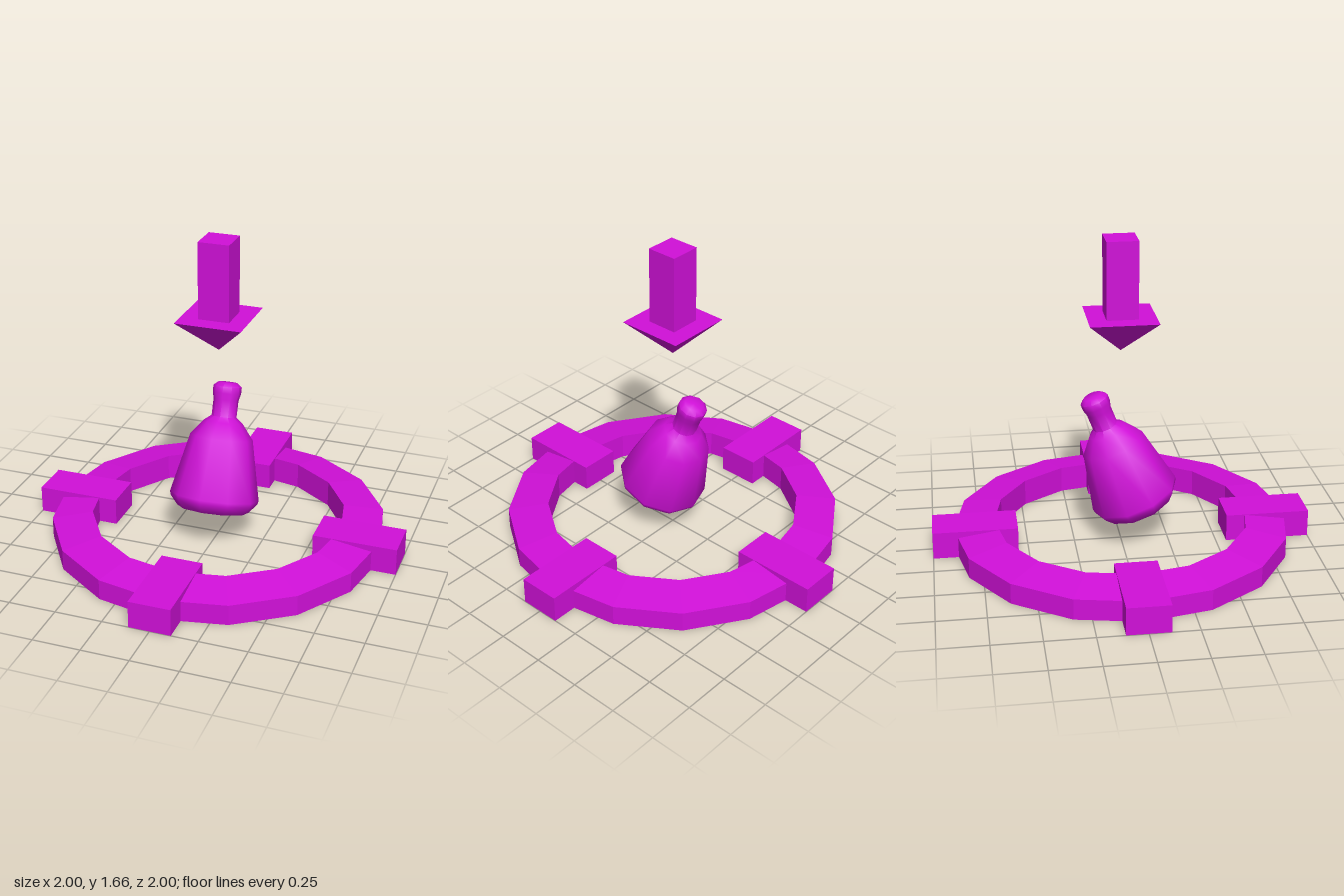
import * as THREE from 'three';
import { toCreasedNormals } from 'three/addons/utils/BufferGeometryUtils.js';

const COLOR = 0xd010d8;

function profile(points) {
  return points.map(([r, y]) => new THREE.Vector2(r, y));
}

// Box without its underside
function openBox(w, h, d) {
  const geo = new THREE.BoxGeometry(w, h, d);
  const index = Array.from(geo.index.array);
  index.splice(18, 6);
  geo.setIndex(index);
  geo.clearGroups();
  return geo;
}

export function createModel() {
  const group = new THREE.Group();
  const flat = new THREE.MeshStandardMaterial({ color: COLOR, flatShading: true });
  const open = new THREE.MeshStandardMaterial({ color: COLOR, flatShading: true, side: THREE.DoubleSide });
  const smooth = new THREE.MeshStandardMaterial({ color: COLOR });

  function add(name, geo, material, parent = group) {
    const mesh = new THREE.Mesh(geo, material);
    mesh.name = name;
    parent.add(mesh);
    return mesh;
  }

  // Sixteen-sided ring, its top sloping down towards the outside
  const ringProfile = [[0.675, 0], [0.89, 0], [0.89, 0.11], [0.675, 0.143], [0.675, 0]];
  add('targetRing', new THREE.LatheGeometry(profile(ringProfile), 16), flat);

  // Four blocks straddling the ring
  for (let i = 0; i < 4; i++) {
    const angle = i * Math.PI / 2;
    const block = add('ringBlock', openBox(0.22, 0.145, 0.445), open);
    block.position.set(Math.sin(angle) * 0.7775, 0.0725, Math.cos(angle) * 0.7775);
    block.rotation.y = angle;
  }

  // Tilted ten-sided bottle
  const bottleProfile = [
    [0, 0.145], [0.19, 0.145], [0.232, 0.195], [0.236, 0.215],
    [0.166, 0.53], [0.102, 0.612], [0.066, 0.64],
    [0.066, 0.73], [0.075, 0.765], [0.075, 0.8], [0.05, 0.821], [0, 0.821],
  ];
  const bottleGeo = toCreasedNormals(new THREE.LatheGeometry(profile(bottleProfile), 10), 0.9);
  const bottle = add('bottle', bottleGeo, smooth);
  bottle.rotation.x = -0.368;
  bottle.position.set(0, 0.058, 0.149);

  // Arrow pointing down at the bottle
  const arrow = new THREE.Group();
  arrow.name = 'arrow';
  group.add(arrow);
  const shaft = add('arrowShaft', new THREE.BoxGeometry(0.164, 0.405, 0.164), flat, arrow);
  shaft.position.y = 1.4575;
  const headGeo = new THREE.ConeGeometry(0.176 * Math.SQRT2, 0.187, 4);
  headGeo.rotateY(Math.PI / 4).rotateX(Math.PI);
  const head = add('arrowHead', headGeo, flat, arrow);
  head.position.y = 1.1615;

  return group;
}
